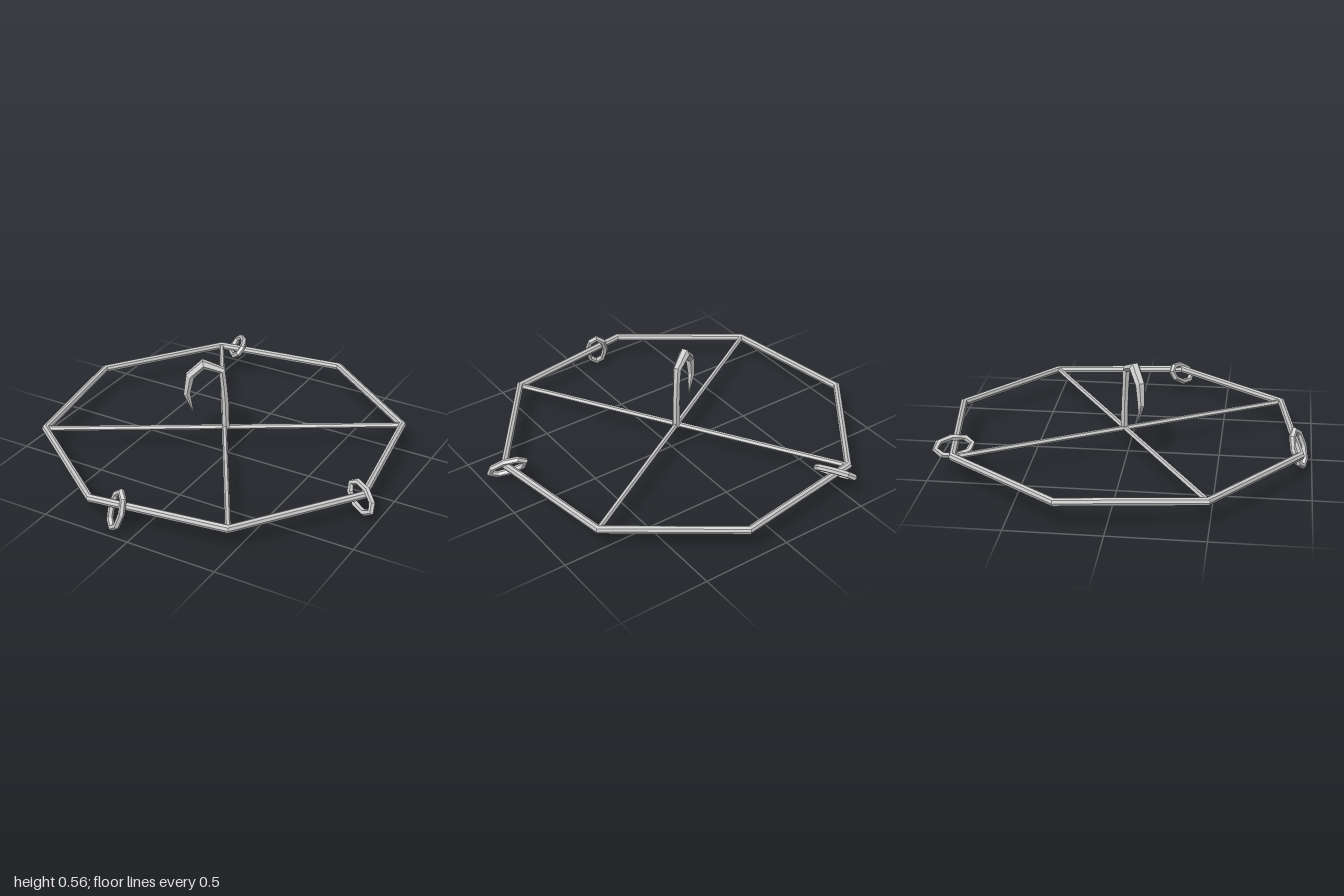
import * as THREE from 'three';

const material = new THREE.MeshStandardMaterial({ color: 0xcccccc, flatShading: true });

function addMesh(parent, geometry, name) {
  const mesh = new THREE.Mesh(geometry, material);
  mesh.name = name;
  parent.add(mesh);
  return mesh;
}

// Tapered bar swept along a path of [x, y, radius] in the XY plane, with mitred joints
function sweptBar(path, sides) {
  const n = path.length - 1;
  const geometry = new THREE.CylinderGeometry(1, 1, n, sides, n);
  const pos = geometry.attributes.position;
  for (let i = 0; i < pos.count; i++) {
    const k = Math.round(pos.getY(i) + n / 2);
    const [x, y, r] = path[k];
    const a = path[Math.max(k - 1, 0)], b = path[Math.min(k + 1, n)];
    const t = new THREE.Vector2(b[0] - a[0], b[1] - a[1]).normalize();
    const side = pos.getX(i) * r;
    pos.setXYZ(i, x + t.y * side, y - t.x * side, pos.getZ(i) * r);
  }
  geometry.computeVertexNormals();
  return geometry;
}

// Oval link: a torus stretched along y while its wire keeps its thickness
function linkGeometry(halfWidth, halfLength, wire) {
  const geometry = new THREE.TorusGeometry(halfWidth, wire, 6, 8);
  const pos = geometry.attributes.position;
  for (let i = 0; i < pos.count; i++) {
    const angle = Math.atan2(pos.getY(i), pos.getX(i));
    pos.setY(i, pos.getY(i) + (halfLength - halfWidth) * Math.sin(angle));
  }
  geometry.computeVertexNormals();
  return geometry;
}

export function createModel() {
  const model = new THREE.Group();
  model.name = 'hangingFrame';

  // Slightly tilted frame, turned about its upright axis
  const tilted = new THREE.Group();
  tilted.name = 'frameAssembly';
  tilted.position.set(-0.027, 0.154, -0.012);
  tilted.rotation.set(0.01, 0, -0.006);
  model.add(tilted);
  const frame = new THREE.Group();
  frame.name = 'frame';
  frame.rotation.y = THREE.MathUtils.degToRad(31);
  tilted.add(frame);

  // Eight-sided rim
  const R = 0.976;
  addMesh(frame, new THREE.TorusGeometry(R, 0.022, 8, 8).rotateX(Math.PI / 2), 'rim');

  // Two crossing bars between opposite corners
  for (let i = 0; i < 2; i++) {
    const bar = addMesh(frame, new THREE.CylinderGeometry(0.015, 0.015, 2 * R, 6).rotateZ(Math.PI / 2), 'crossBar');
    bar.rotation.y = i * Math.PI / 2;
  }

  // Pointed hook rising from the crossing
  addMesh(frame, sweptBar([
    [0.008, -0.01, 0.022], [0.006, 0.15, 0.021], [-0.002, 0.25, 0.02], [-0.012, 0.35, 0.023],
    [-0.112, 0.389, 0.03], [-0.184, 0.32, 0.027], [-0.202, 0.213, 0.021], [-0.17, 0.1, 0.003],
  ], 6), 'hook');

  // Loose links on the rim: centre, short direction, long direction
  const links = [
    ['frontLink', [-0.108, 0.12, 0.925], [0.045, 0, 0.025], [0.015, 0.102, -0.028]],
    ['leftLink', [0.905, 0.126, 0.22], [0.025, 0.045, -0.01], [0.078, -0.035, 0.05]],
    ['backLink', [-0.425, 0.178, -0.865], [0.034, 0.04, -0.02], [0.05, 0, 0.085]],
  ];
  for (const [name, centre, short, long] of links) {
    const L = new THREE.Vector3(...long).normalize();
    const N = new THREE.Vector3(...short).cross(L).normalize();
    const S = new THREE.Vector3().crossVectors(L, N);
    const link = addMesh(model, linkGeometry(0.052, 0.101, 0.018), name);
    link.quaternion.setFromRotationMatrix(new THREE.Matrix4().makeBasis(S, L, N));
    link.position.set(...centre);
  }
  return model;
}
